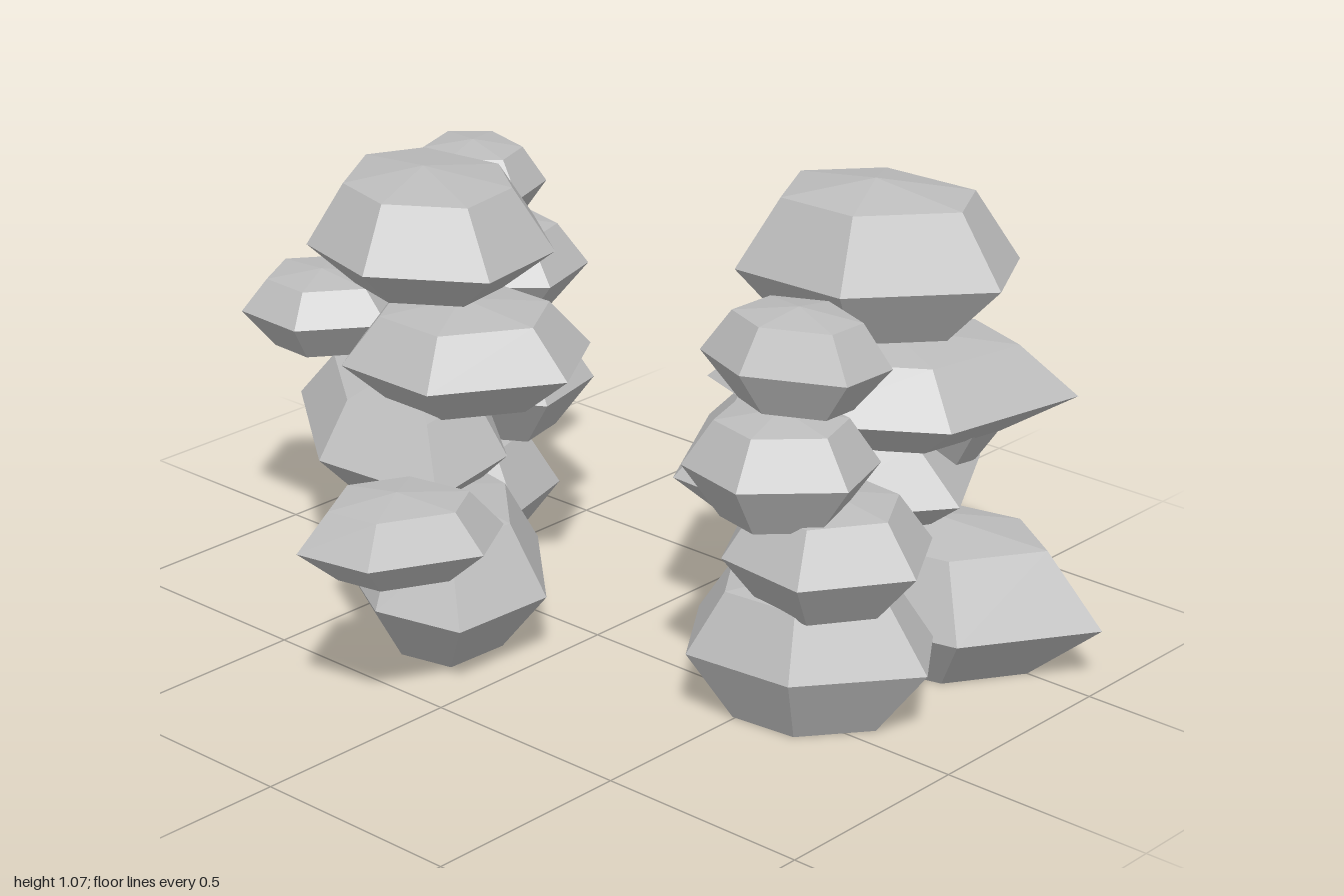
import * as THREE from 'three';

const stone = new THREE.MeshStandardMaterial({ color: 0xbcbcbc, flatShading: true });
stone.name = 'stone grey';

// A faceted boulder fitted to a plan box: flat base, wide waist, narrower shoulder, low crown
function makeRock([x0, x1, z0, z1, yBase, yWaist, yTop, sides, phase, skew]) {
  const plan = [];
  for (let i = 0; i < sides; i++) {
    const a = THREE.MathUtils.degToRad(phase + (i * 360) / sides + (i % 2) * 7);
    plan.push([Math.cos(a) + skew * Math.sin(a), Math.sin(a) + skew * Math.cos(a)]);
  }
  const fit = (axis, lo, hi) => {
    const v = plan.map((p) => p[axis]);
    const min = Math.min(...v), max = Math.max(...v);
    plan.forEach((p) => { p[axis] = lo + ((p[axis] - min) / (max - min)) * (hi - lo); });
  };
  fit(0, x0, x1);
  fit(1, z0, z1);

  const cx = (x0 + x1) / 2, cz = (z0 + z1) / 2;
  const rings = [
    [0.6, yBase],
    [1, yWaist],
    [0.68, yWaist + (yTop - yWaist) * 0.82],
  ];
  const pos = [], index = [];
  for (const [s, y] of rings) {
    for (const [x, z] of plan) pos.push(cx + (x - cx) * s, y, cz + (z - cz) * s);
  }
  const bottom = sides * 3, crown = bottom + 1;
  pos.push(cx, yBase, cz, cx, yTop, cz);
  for (let i = 0; i < sides; i++) {
    const j = (i + 1) % sides;
    for (let r = 0; r < 2; r++) {
      const a = r * sides + i, b = r * sides + j;
      index.push(a, a + sides, b, b, a + sides, b + sides);
    }
    index.push(bottom, i, j, crown, 2 * sides + j, 2 * sides + i);
  }
  const geo = new THREE.BufferGeometry();
  geo.setAttribute('position', new THREE.Float32BufferAttribute(pos, 3));
  geo.setIndex(index);
  geo.computeVertexNormals();
  return new THREE.Mesh(geo, stone);
}

// Each rock: x0, x1, z0, z1, base, waist, top, sides, phase in degrees, skew
const stacks = {
  tallBackStack: [
    [0.18, 0.995, -0.69, -0.18, 0, 0.14, 0.34, 6, -17, -0.12],
    [-0.06, 0.7, -0.7, -0.09, 0.27, 0.39, 0.53, 6, 0, 0],
    [0.3, 0.65, -0.76, -0.38, 0.4, 0.51, 0.6, 6, 20, 0],
    [0.11, 0.79, -0.79, -0.13, 0.5, 0.59, 0.73, 6, -35, -0.2],
    [0.075, 0.72, -0.7, -0.22, 0.73, 0.87, 1.065, 6, 0, -0.1],
  ],
  smallFrontStack: [
    [0.29, 0.88, -0.24, 0.19, 0, 0.16, 0.33, 6, -5, -0.1],
    [0.37, 0.88, -0.25, 0.19, 0.28, 0.4, 0.53, 6, 0, 0.05],
    [0.37, 0.79, -0.13, 0.26, 0.49, 0.61, 0.73, 6, 10, 0],
    [0.4, 0.77, -0.14, 0.18, 0.73, 0.83, 0.945, 6, 25, -0.05],
  ],
  tallFrontStack: [
    [-0.65, 0.015, -0.1, 0.49, 0, 0.16, 0.34, 7, -15, 0.22],
    [-0.93, -0.17, -0.27, 0.36, 0.27, 0.39, 0.53, 6, 35, 0.32],
    [-0.68, -0.07, -0.2, 0.29, 0.5, 0.6, 0.73, 6, -3, 0],
    [-0.85, -0.2, -0.27, 0.29, 0.73, 0.83, 1, 7, 22, 0.08],
    [-1, -0.58, -0.08, 0.25, 0.53, 0.62, 0.71, 6, 0, 0],
  ],
  smallBackStack: [
    [-0.88, -0.4, -0.43, 0.05, 0, 0.13, 0.29, 6, 10, 0],
    [-0.87, -0.35, -0.55, -0.07, 0.27, 0.4, 0.53, 6, 20, 0.1],
    [-0.96, -0.5, -0.63, -0.2, 0.5, 0.61, 0.73, 6, 11, 0],
    [-0.92, -0.55, -0.53, -0.19, 0.73, 0.83, 0.93, 6, 11, 0.05],
  ],
  floatingRock: [
    [-0.235, 0.165, 0.38, 0.79, 0.345, 0.42, 0.525, 6, -8, -0.1],
  ],
};

export function createModel() {
  const model = new THREE.Group();
  model.name = 'rockStacks';
  for (const [name, rocks] of Object.entries(stacks)) {
    const group = new THREE.Group();
    group.name = name;
    rocks.forEach((spec, i) => {
      const rock = makeRock(spec);
      rock.name = `rock${i + 1}`;
      group.add(rock);
    });
    model.add(group);
  }
  return model;
}
